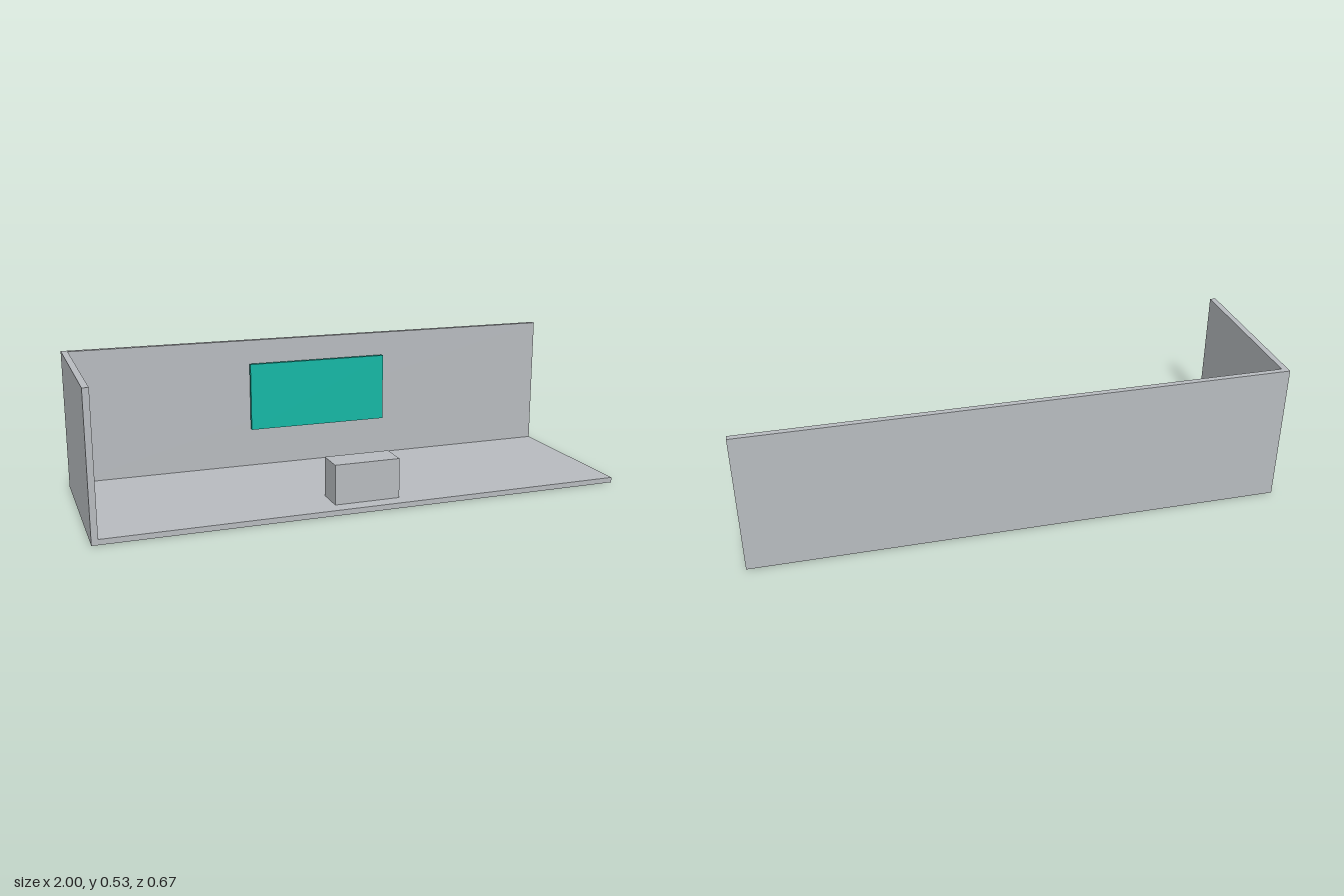
import * as THREE from 'three';

export function createModel() {
  const group = new THREE.Group();
  const grey = new THREE.MeshStandardMaterial({ color: 0xb8bcc0 });
  grey.name = 'light grey';
  const teal = new THREE.MeshStandardMaterial({ color: 0x14b8a6 });
  teal.name = 'teal';
  const slate = new THREE.MeshStandardMaterial({ color: 0x334155 });
  slate.name = 'dark slate';

  // Box given by its lower and upper limits on each axis
  function box(name, material, [x0, x1], [y0, y1], [z0, z1]) {
    const mesh = new THREE.Mesh(new THREE.BoxGeometry(x1 - x0, y1 - y0, z1 - z0), material);
    mesh.position.set((x0 + x1) / 2, (y0 + y1) / 2, (z0 + z1) / 2);
    mesh.name = name;
    group.add(mesh);
  }

  const depth = 0.333, height = 0.533, floorTop = 0.02, wallFront = -0.311;

  // Booth shell: floor, back wall and one side wall
  box('floor', grey, [-1, 1], [0, floorTop], [-depth, depth]);
  box('backWall', grey, [-1, 1], [floorTop, height], [-depth, wallFront]);
  box('sideWall', grey, [-1, -0.977], [floorTop, height], [wallFront, depth]);

  // Reception counter
  box('counter', grey, [-0.127, 0.123], [floorTop, 0.17], [0.161, 0.275]);

  // Wall panel on its recessed backing
  box('panelBacking', slate, [-0.273, 0.27], [0.189, 0.429], [-0.304, -0.295]);
  box('wallPanel', teal, [-0.283, 0.28], [0.176, 0.442], [-0.295, -0.279]);

  return group;
}
